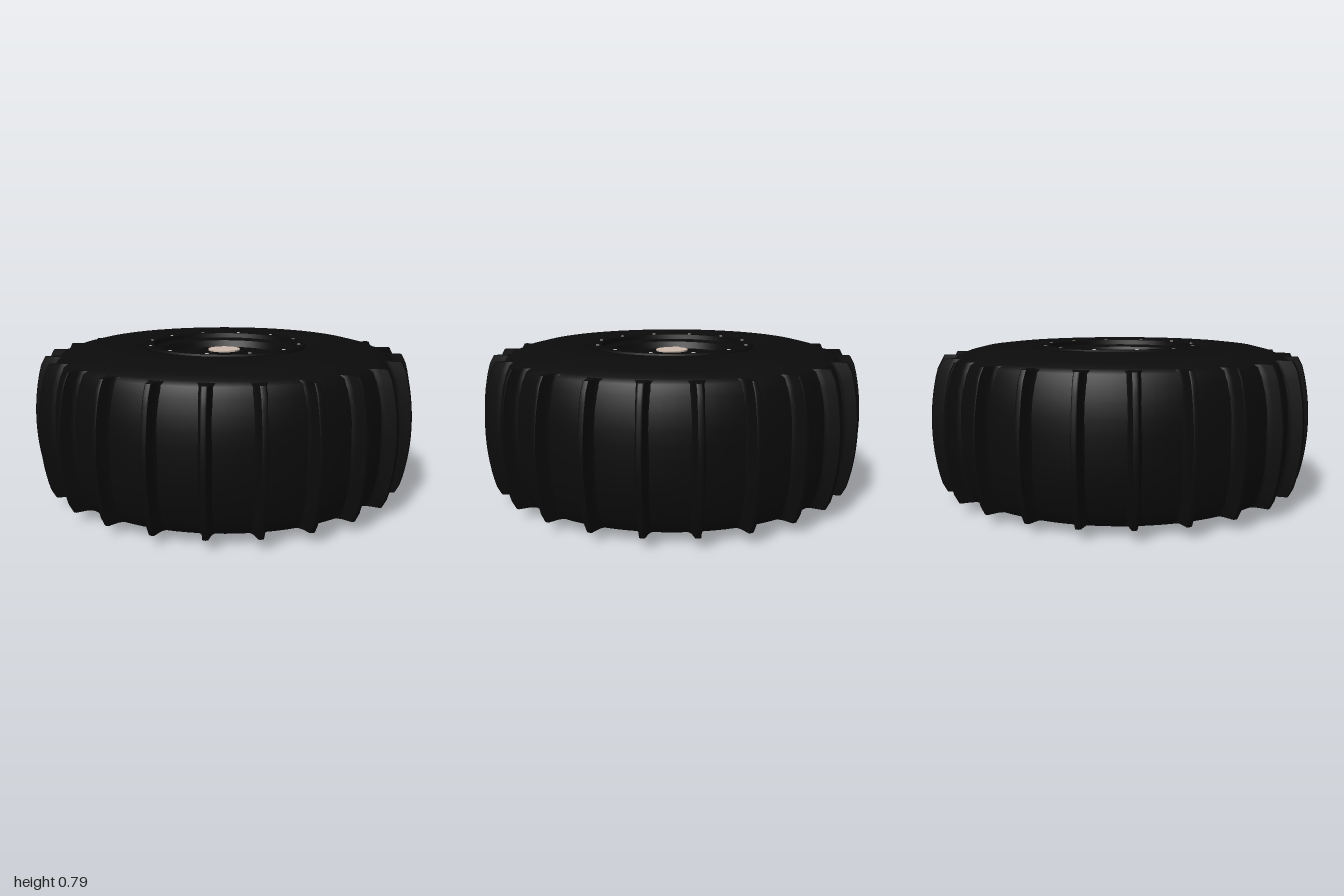
import * as THREE from 'three';
import { toCreasedNormals } from 'three/addons/utils/BufferGeometryUtils.js';

const MID = 0.395;          // mid height of the wheel
const PADDLE_HALF = 0.34;   // half height of a paddle
const TILT = THREE.MathUtils.degToRad(1.7);

const paint = (color) => new THREE.MeshStandardMaterial({ color });
const rubber = paint(0x0b0b0b);
const rimBlack = paint(0x0a0a0a);
const beige = paint(0xcdbaac);
const silver = paint(0xc8c0b8);

// Profile runs from the underside, round the outside, to the top
function lathe(name, points, material, crease) {
  const geo = new THREE.LatheGeometry(points.map(([r, y]) => new THREE.Vector2(r, y)), 96);
  const mesh = new THREE.Mesh(crease ? toCreasedNormals(geo, crease) : geo, material);
  mesh.name = name;
  return mesh;
}

function disc(name, radius, height, x, y, z, material, sides = 24) {
  const mesh = new THREE.Mesh(new THREE.CylinderGeometry(radius, radius, height, sides), material);
  mesh.name = name;
  mesh.position.set(x, y, z);
  return mesh;
}

// Tyre carcass: half profile mirrored about the mid height
function tyre() {
  const upper = [
    [0.924, 0.07], [0.92, 0.14], [0.909, 0.21], [0.89, 0.28], [0.87, 0.325], [0.845, 0.345],
    [0.8, 0.364], [0.72, 0.384], [0.63, 0.394], [0.54, 0.394], [0.47, 0.388], [0.42, 0.37],
  ];
  const lower = upper.map(([r, h]) => [r, MID - h]).reverse();
  return lathe('tyre', [...lower, [0.925, MID], ...upper.map(([r, h]) => [r, MID + h])], rubber);
}

// Paddle: flared rib section extruded across the tread and bent to its crown
function paddleGeometry() {
  const s = new THREE.Shape();
  s.moveTo(-0.06, 0.84);
  s.lineTo(0.06, 0.84);
  s.lineTo(0.05, 0.905);
  s.quadraticCurveTo(0.024, 0.925, 0.02, 0.95);
  s.lineTo(0.013, 0.995);
  s.quadraticCurveTo(0, 1.004, -0.013, 0.995);
  s.lineTo(-0.02, 0.95);
  s.quadraticCurveTo(-0.024, 0.925, -0.05, 0.905);
  s.closePath();
  const geo = new THREE.ExtrudeGeometry(s, {
    depth: 2 * PADDLE_HALF, steps: 16, curveSegments: 5, bevelEnabled: false,
  });
  geo.translate(0, 0, -PADDLE_HALF);
  const p = geo.attributes.position;
  for (let i = 0; i < p.count; i++) {
    const t = p.getZ(i) / PADDLE_HALF;
    p.setY(i, p.getY(i) - 0.052 * t * t - 0.012 * t ** 16);
  }
  geo.rotateX(-Math.PI / 2);
  geo.translate(0, MID, 0);
  return toCreasedNormals(geo, 0.6);
}

export function createModel() {
  const wheel = new THREE.Group();
  wheel.name = 'paddleWheel';
  wheel.add(tyre());

  const paddles = new THREE.Group();
  paddles.name = 'paddles';
  const rib = paddleGeometry();
  for (let i = 0; i < 24; i++) {
    const paddle = new THREE.Mesh(rib, rubber);
    paddle.name = 'paddle';
    paddle.rotation.y = i * Math.PI / 12 - TILT;
    paddles.add(paddle);
  }
  wheel.add(paddles);

  // Rim: shallow dish with a raised hub on both faces
  wheel.add(lathe('rim', [
    [0, 0.06], [0.17, 0.06], [0.19, 0.085], [0.28, 0.085], [0.36, 0.06], [0.4, 0.03],
    [0.41, 0.014], [0.433, 0.014], [0.433, 0.778], [0.425, 0.786], [0.375, 0.786],
    [0.368, 0.762], [0.335, 0.75], [0.315, 0.715], [0.225, 0.71], [0.2, 0.73],
    [0.125, 0.732], [0.115, 0.744], [0, 0.744],
  ], rimBlack, 0.5));
  wheel.add(disc('hubCap', 0.084, 0.03, 0, 0.737, 0, beige, 48));
  wheel.add(disc('valve', 0.02, 0.03, -0.13, 0.712, 0.24, beige));

  // Ring screws on the outer face
  const screws = new THREE.Group();
  screws.name = 'ringScrews';
  for (let i = 0; i < 12; i++) {
    const a = i * Math.PI / 6 + 0.15;
    screws.add(disc('screw', 0.009, 0.01, 0.4 * Math.cos(a), 0.784, 0.4 * Math.sin(a), silver, 12));
  }
  wheel.add(screws);

  // Hub and bolts on the inner face
  const hub = new THREE.Group();
  hub.name = 'innerHub';
  hub.add(disc('hubPlate', 0.12, 0.02, 0, 0.055, 0, rimBlack, 48));
  hub.add(disc('axleEnd', 0.03, 0.03, 0, 0.048, 0, rimBlack));
  for (let i = 0; i < 6; i++) {
    const a = i * Math.PI / 3;
    hub.add(disc('hubBolt', 0.016, 0.025, 0.085 * Math.cos(a), 0.045, 0.085 * Math.sin(a), rimBlack, 6));
  }
  wheel.add(hub);
  return wheel;
}
